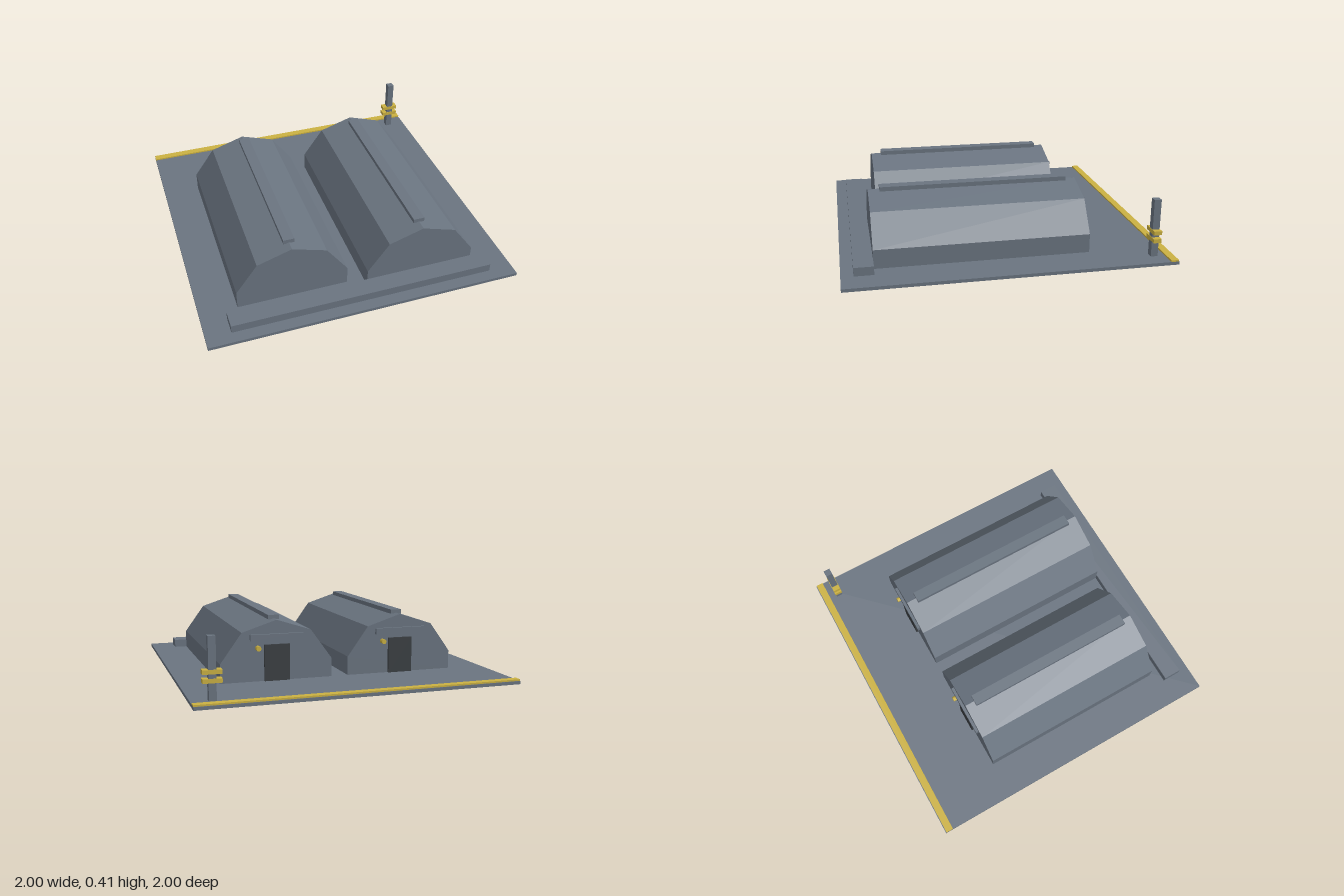
import * as THREE from 'three';

const flat = (name, color) => {
  const m = new THREE.MeshStandardMaterial({ color });
  m.name = name;
  return m;
};

export function createModel() {
  const slate = flat('slate grey', 0x6a7480);
  const dark = flat('dark door grey', 0x3a3e42);
  const yellow = flat('safety yellow', 0xcbb142);

  const model = new THREE.Group();
  model.name = 'hangarYard';

  const add = (parent, name, geometry, material, x = 0, y = 0, z = 0) => {
    const mesh = new THREE.Mesh(geometry, material);
    mesh.name = name;
    mesh.position.set(x, y, z);
    parent.add(mesh);
    return mesh;
  };
  // Box given by its min and max on each axis
  const box = (parent, name, material, [x0, x1], [y0, y1], [z0, z1]) =>
    add(parent, name, new THREE.BoxGeometry(x1 - x0, y1 - y0, z1 - z0), material,
      (x0 + x1) / 2, (y0 + y1) / 2, (z0 + z1) / 2);

  // Ground slab, edge stripe and front kerb
  box(model, 'groundSlab', slate, [-1, 1], [0, 0.02], [-1, 1]);
  box(model, 'edgeStripe', yellow, [-1, 1], [0.02, 0.03], [-0.995, -0.948]);
  box(model, 'frontKerb', slate, [-0.843, 0.843], [0.02, 0.073], [0.806, 0.925]);

  // Faceted hangar cross-section
  const profile = new THREE.Shape([
    [-0.353, 0.02], [0.353, 0.02], [0.353, 0.138], [0.218, 0.324],
    [0, 0.394], [-0.218, 0.324], [-0.353, 0.138],
  ].map(([x, y]) => new THREE.Vector2(x, y)));

  const back = -0.513;
  const addHangar = (name, x, front, ridgeBack, ridgeFront) => {
    const hangar = new THREE.Group();
    hangar.name = name;
    hangar.position.x = x;
    model.add(hangar);

    const shell = new THREE.ExtrudeGeometry(profile, { depth: front - back, bevelEnabled: false });
    add(hangar, 'shell', shell, slate, 0, 0, back);
    box(hangar, 'ridgeVent', slate, [-0.035, 0.035], [0.388, 0.415], [ridgeBack, ridgeFront]);

    // Rear door, canopy strip and lamp
    box(hangar, 'rearDoor', dark, [-0.08, 0.08], [0.02, 0.245], [back - 0.013, back]);
    box(hangar, 'doorCanopy', slate, [-0.168, 0.168], [0.272, 0.31], [back - 0.018, back]);
    const lamp = new THREE.CylinderGeometry(0.016, 0.016, 0.036, 8).rotateX(Math.PI / 2);
    add(hangar, 'doorLamp', lamp, yellow, 0.12, 0.226, back - 0.018);
  };
  addHangar('rightHangar', -0.409, 0.737, -0.45, 0.672);
  addHangar('leftHangar', 0.406, 0.806, -0.445, 0.735);

  // Marker post with two yellow bands
  const post = new THREE.Group();
  post.name = 'markerPost';
  post.position.set(0.876, 0, -0.88);
  model.add(post);
  box(post, 'postShaft', slate, [-0.022, 0.022], [0.02, 0.383], [-0.022, 0.022]);
  for (const y of [0.12, 0.17]) {
    box(post, 'postBand', yellow, [-0.056, 0.056], [y, y + 0.025], [-0.025, 0.025]);
  }

  return model;
}
